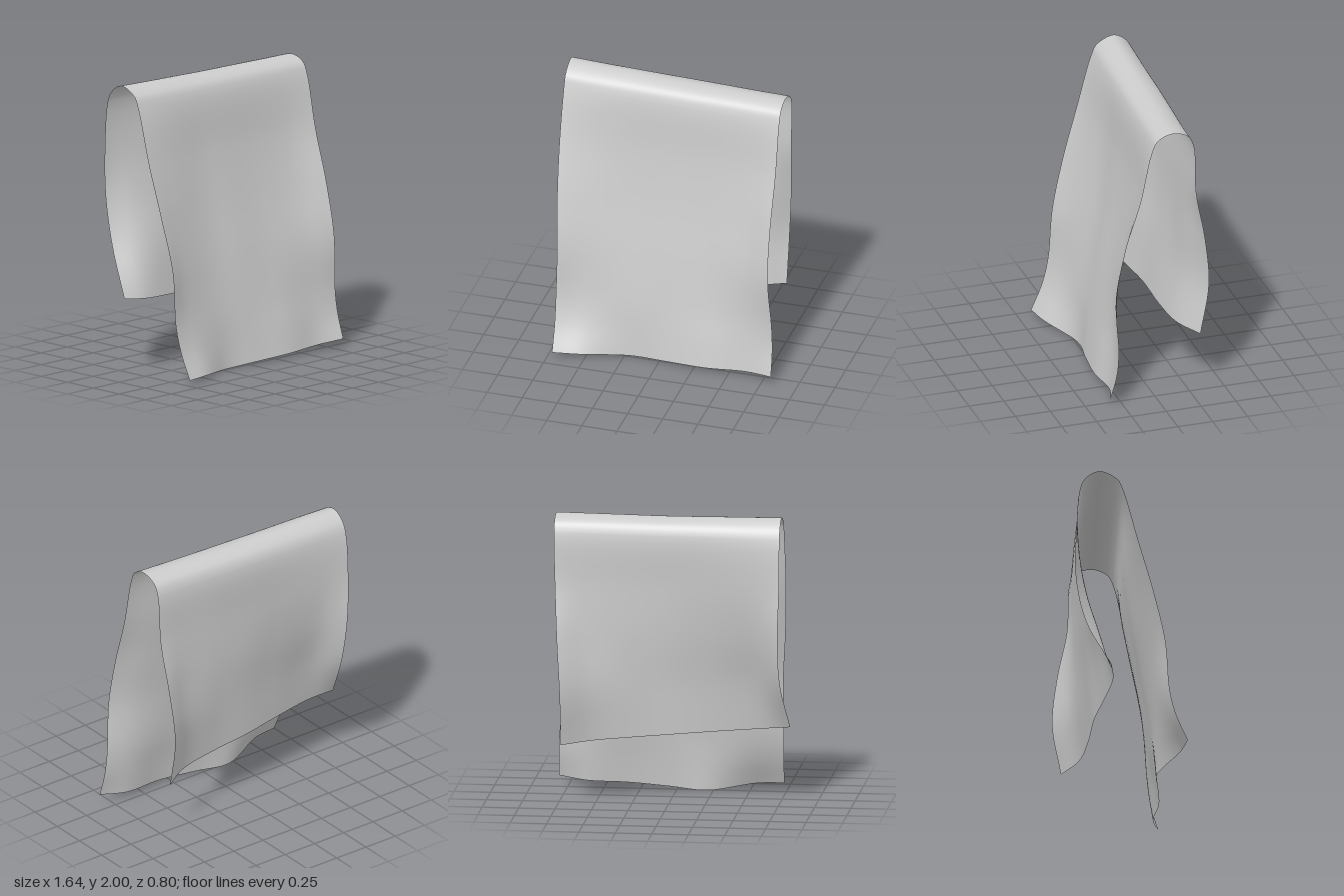
import * as THREE from 'three';

// Each column runs across the cloth: u = place across the width,
// front / back = depth from the fold down to the hem, with the hem heights.
const columns = [
  { u: 0.0, front: [-0.045, 0.055, 0.16, 0.245, 0.275, 0.32, 0.4], hemF: 0.03, back: [-0.34, -0.368, -0.37, -0.3, -0.13], hemB: 0.53 },
  { u: 0.12, front: [-0.035, 0.035, 0.115, 0.185, 0.235, 0.285, 0.37], hemF: 0.03, back: [-0.33, -0.335, -0.285, -0.187, -0.103], hemB: 0.51 },
  { u: 0.33, front: [-0.025, 0.012, 0.068, 0.138, 0.2, 0.22, 0.237], hemF: 0.0, back: [-0.315, -0.303, -0.257, -0.19, -0.14], hemB: 0.49 },
  { u: 0.5, front: [-0.013, 0.022, 0.078, 0.148, 0.21, 0.24, 0.268], hemF: 0.015, back: [-0.305, -0.29, -0.263, -0.215, -0.178], hemB: 0.473 },
  { u: 0.69, front: [0.0, 0.036, 0.093, 0.162, 0.225, 0.265, 0.3], hemF: 0.03, back: [-0.29, -0.28, -0.266, -0.235, -0.19], hemB: 0.447 },
  { u: 0.87, front: [0.015, 0.065, 0.138, 0.212, 0.235, 0.257, 0.285], hemF: 0.04, back: [-0.275, -0.275, -0.282, -0.283, -0.228], hemB: 0.425 },
  { u: 1.0, front: [0.03, 0.11, 0.22, 0.29, 0.275, 0.29, 0.34], hemF: 0.06, back: [-0.27, -0.29, -0.36, -0.395, -0.335], hemB: 0.41 },
];

// Drop of each level (0 = fold, 1 = hem) and the side edges there
const frontDrop = [0, 0.2, 0.4, 0.6, 0.8, 0.9, 1];
const frontLeft = [-0.77, -0.77, -0.755, -0.73, -0.73, -0.725, -0.72];
const frontRight = [0.785, 0.783, 0.778, 0.782, 0.805, 0.815, 0.82];
const backDrop = [0, 0.25, 0.5, 0.75, 1];
const backLeft = [-0.77, -0.77, -0.76, -0.767, -0.82];
const backRight = [0.785, 0.775, 0.755, 0.732, 0.73];
const { lerp } = THREE.MathUtils;

// Profile of one column: front hem, up, over the fold, down to the back hem
function columnCurve({ u, front, hemF, back, hemB }) {
  const points = front.map((z, i) => new THREE.Vector3(
    lerp(frontLeft[i], frontRight[i], u), lerp(1.86, hemF, frontDrop[i]), z)).reverse();
  const peak = 1.985 + 0.015 * Math.max(0, 1 - 2 * u);
  for (const [f, y] of [[0.14, 1.945], [lerp(0.55, 0.48, u), peak], [0.86, 1.95]]) {
    points.push(new THREE.Vector3(lerp(-0.77, 0.785, u), y, lerp(front[0], back[0], f)));
  }
  back.forEach((z, i) => points.push(new THREE.Vector3(
    lerp(backLeft[i], backRight[i], u), lerp(1.87, hemB, backDrop[i]), z)));
  return new THREE.CatmullRomCurve3(points);
}

function drapedSheet(across, along) {
  const curves = columns.map(columnCurve);
  const positions = [];
  const index = [];
  for (let j = 0; j <= along; j++) {
    const row = new THREE.CatmullRomCurve3(curves.map((c) => c.getPoint(j / along)));
    for (let i = 0; i <= across; i++) {
      positions.push(...row.getPoint(i / across).toArray());
      if (i < across && j < along) {
        const a = j * (across + 1) + i;
        const b = a + across + 1;
        index.push(a, a + 1, b, a + 1, b + 1, b);
      }
    }
  }
  const geometry = new THREE.BufferGeometry();
  geometry.setAttribute('position', new THREE.Float32BufferAttribute(positions, 3));
  geometry.setIndex(index);
  geometry.computeVertexNormals();
  return geometry;
}

export function createModel() {
  const group = new THREE.Group();
  group.name = 'hangingTowel';
  const cloth = new THREE.Mesh(
    drapedSheet(42, 84),
    new THREE.MeshStandardMaterial({ color: 0xcccccc, side: THREE.DoubleSide }),
  );
  cloth.name = 'towelCloth';
  group.add(cloth);
  return group;
}
